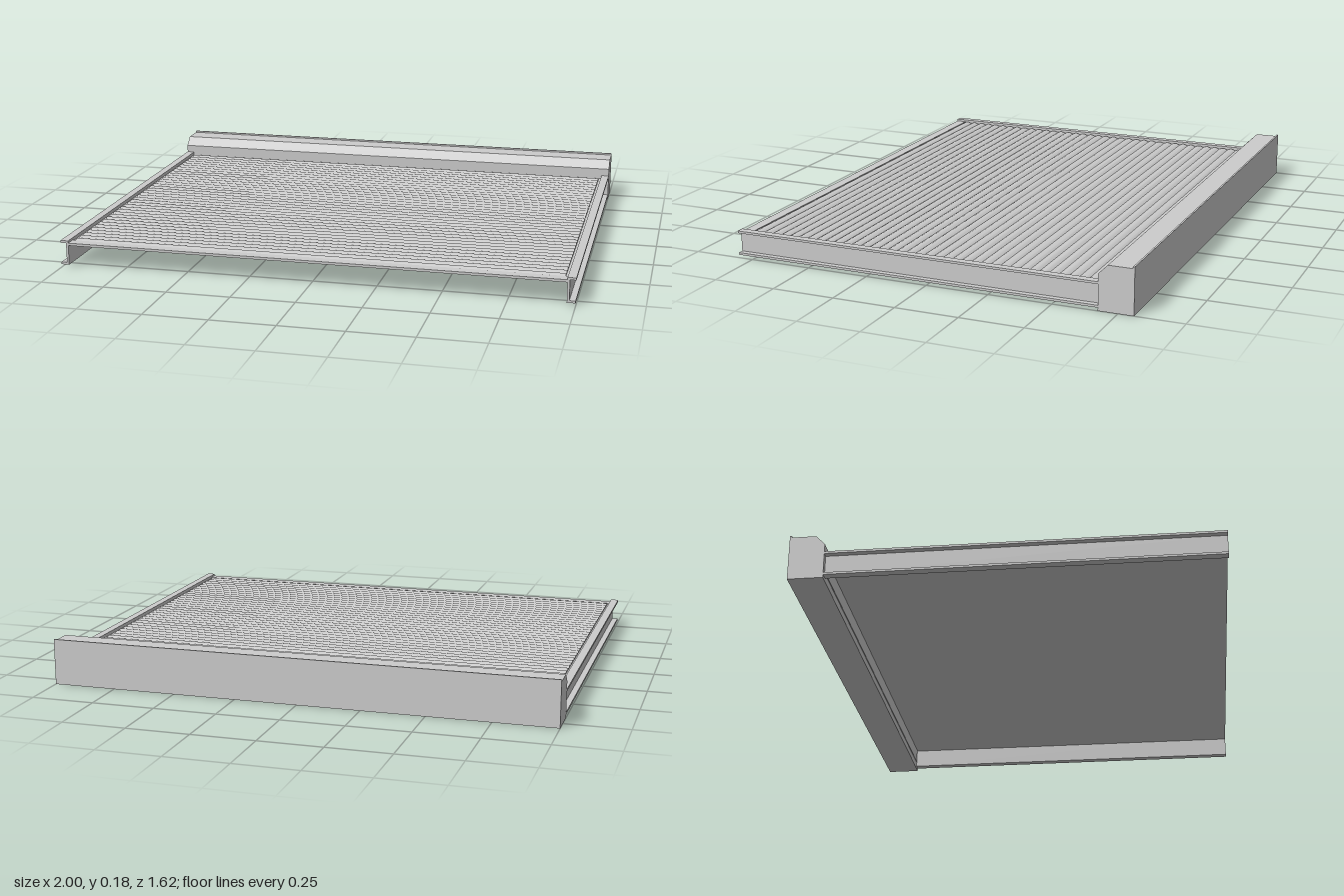
import * as THREE from 'three';
import { toCreasedNormals } from 'three/addons/utils/BufferGeometryUtils.js';

const material = new THREE.MeshStandardMaterial({ color: 0xcccccc });

function addMesh(parent, name, geometry) {
  const mesh = new THREE.Mesh(geometry, material);
  mesh.name = name;
  parent.add(mesh);
  return mesh;
}

// Box given by its min and max corners
function boxBetween(x0, x1, y0, y1, z0, z1) {
  const g = new THREE.BoxGeometry(x1 - x0, y1 - y0, z1 - z0);
  return g.translate((x0 + x1) / 2, (y0 + y1) / 2, (z0 + z1) / 2);
}

// Sweep a [z, y] profile across the full width, centred on x = 0
function sweepAcross(profile, width) {
  const shape = new THREE.Shape(profile.map(([z, y]) => new THREE.Vector2(-z, y)));
  const g = new THREE.ExtrudeGeometry(shape, { depth: width, bevelEnabled: false });
  return g.translate(0, 0, -width / 2).rotateY(Math.PI / 2);
}

export function createModel() {
  const model = new THREE.Group();
  model.name = 'rollerShutter';

  // Housing for the roll, with a chamfered front edge and a raised back lip
  const housing = new THREE.Group();
  housing.name = 'housing';
  model.add(housing);
  addMesh(housing, 'housingBox', sweepAcross([
    [-0.675, 0], [-0.675, 0.14], [-0.71, 0.175], [-0.803, 0.175],
    [-0.803, 0.182], [-0.81, 0.182], [-0.81, 0],
  ], 2));
  addMesh(housing, 'housingFrontPanel', boxBetween(-0.957, 0.957, 0.03, 0.09, -0.68, -0.672));

  // Thin backing sheet with a flat bottom bar at the front
  addMesh(model, 'curtainSheet', boxBetween(-0.972, 0.972, 0.09, 0.095, -0.678, 0.81));
  addMesh(model, 'bottomBar', boxBetween(-0.972, 0.972, 0.094, 0.1, 0.768, 0.81));

  // Row of rounded slats
  const slatCount = 37, pitch = 0.0386, steps = 6, start = 0.768;
  const profile = [[start, 0.094]];
  for (let i = 0; i < slatCount; i++) {
    for (let j = i ? 1 : 0; j <= steps; j++) {
      const t = j / steps;
      profile.push([start - (i + t) * pitch, 0.096 + 0.007 * Math.sin(Math.PI * t)]);
    }
  }
  profile.push([start - slatCount * pitch, 0.094]);
  addMesh(model, 'slats', toCreasedNormals(sweepAcross(profile, 1.914), 0.7));

  // Side guide rails: channels open to the outside
  for (const side of [1, -1]) {
    const section = [
      [0.968, 0.012], [1, 0.012], [1, 0.021], [0.977, 0.021],
      [0.977, 0.1], [1, 0.1], [1, 0.109], [0.968, 0.109],
    ];
    const shape = new THREE.Shape(section.map(([x, y]) => new THREE.Vector2(side * x, y)));
    const rail = new THREE.ExtrudeGeometry(shape, { depth: 1.485, bevelEnabled: false });
    addMesh(model, side > 0 ? 'leftGuideRail' : 'rightGuideRail', rail.translate(0, 0, -0.675));
  }

  return model;
}
